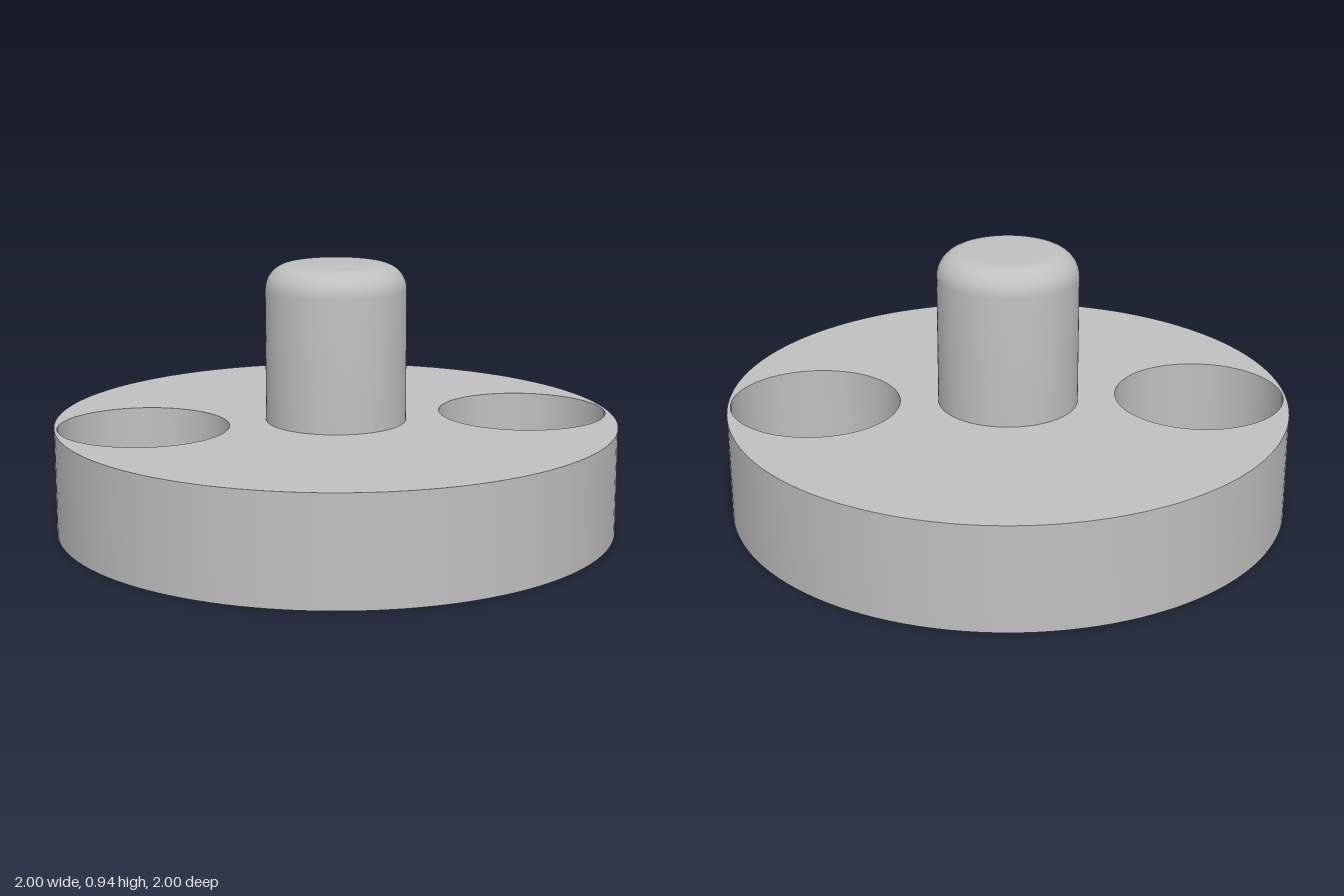
import * as THREE from 'three';
import { toCreasedNormals } from 'three/addons/utils/BufferGeometryUtils.js';

const DISC_HEIGHT = 0.38, TOP = 0.94;
const POST_RADIUS = 0.25, FILLET = 0.09;
const BORE_RADIUS = 0.155, BORE_DEPTH = 0.75;

function circleHole(x, radius) {
  return new THREE.Path().absarc(x, 0, radius, 0, Math.PI * 2, true);
}

function lathe(points) {
  const profile = points.map(([x, y]) => new THREE.Vector2(x, y));
  return toCreasedNormals(new THREE.LatheGeometry(profile, 96), 0.6);
}

export function createModel() {
  const model = new THREE.Group();
  const grey = new THREE.MeshStandardMaterial({ color: 0xc0c0c0 });
  grey.name = 'plain grey';

  function add(name, geometry) {
    const mesh = new THREE.Mesh(geometry, grey);
    mesh.name = name;
    model.add(mesh);
  }

  // Round base with two large through holes and the mouth of the central bore
  const outline = new THREE.Shape().absarc(0, 0, 1, 0, Math.PI * 2, false);
  for (const side of [-1, 1]) outline.holes.push(circleHole(side * 0.688, 0.302));
  outline.holes.push(circleHole(0, BORE_RADIUS));
  const base = new THREE.ExtrudeGeometry(outline, {
    depth: DISC_HEIGHT, bevelEnabled: false, curveSegments: 64,
  });
  base.rotateX(-Math.PI / 2);
  add('baseDisc', toCreasedNormals(base, 0.6));

  // Central post with a rounded top edge
  const post = [[POST_RADIUS, DISC_HEIGHT]];
  for (let i = 0; i <= 10; i++) {
    const a = (i / 10) * Math.PI / 2;
    post.push([
      POST_RADIUS - FILLET + FILLET * Math.cos(a),
      TOP - FILLET + FILLET * Math.sin(a),
    ]);
  }
  post.push([0, TOP]);
  add('centrePost', lathe(post));

  // Blind bore continuing up inside the post
  add('postBore', lathe([
    [0, BORE_DEPTH], [BORE_RADIUS, BORE_DEPTH], [BORE_RADIUS, DISC_HEIGHT],
  ]));

  return model;
}
